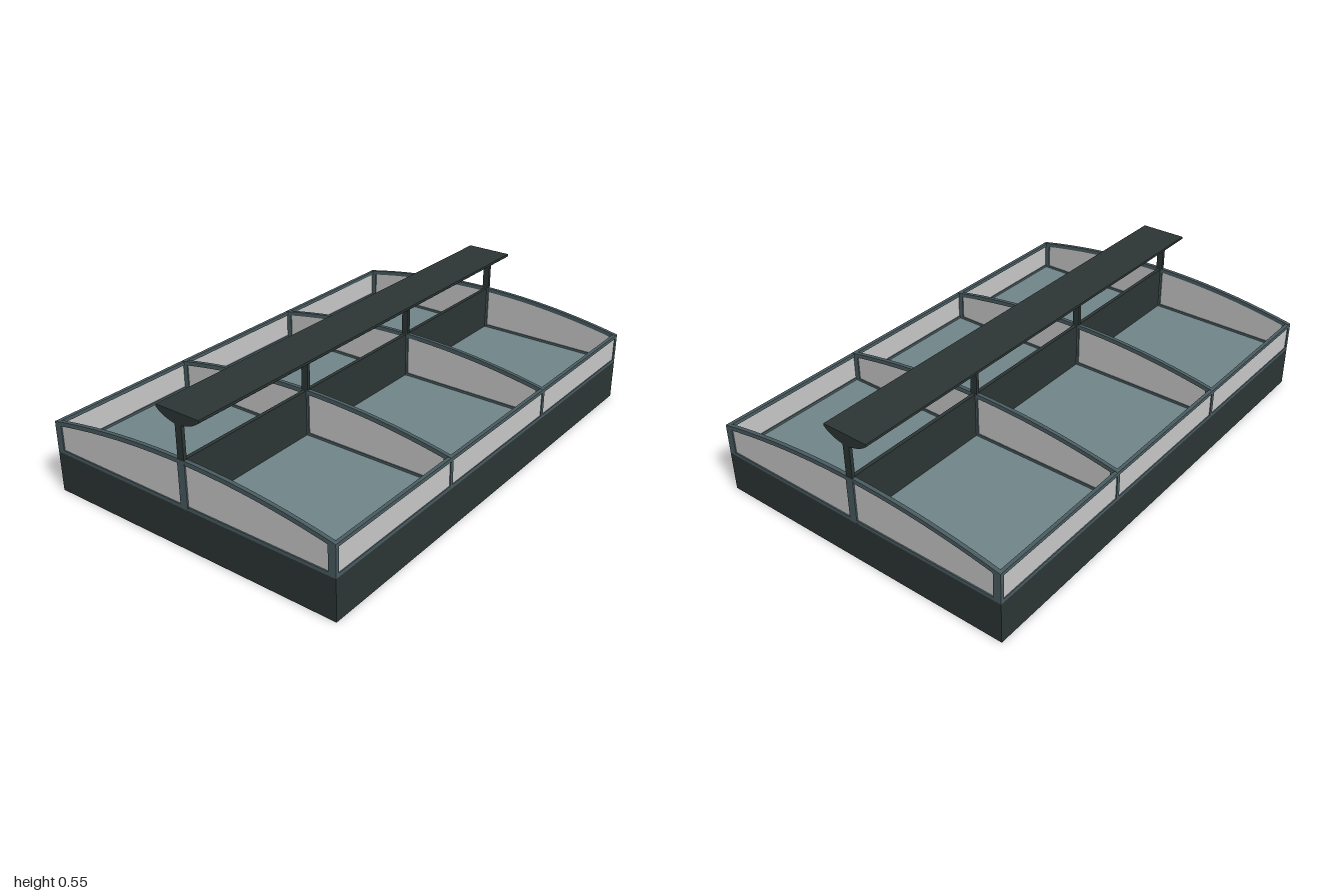
import * as THREE from 'three';

const W = 0.665, L = 1, BASE = 0.17, EAVE = 0.3, RIDGE = 0.368, T = 0.016;

// height of the arched top at x
const arch = (x) => RIDGE - (RIDGE - EAVE) * (x / W) ** 2;

// points along the arch, lowered by drop, from x = -w to w
function archPoints(w, drop, n = 20) {
  return Array.from({ length: n + 1 }, (_, i) => {
    const x = -w + (2 * w * i) / n;
    return new THREE.Vector2(x, arch(x) - drop);
  });
}

export function createModel() {
  const dark = new THREE.MeshStandardMaterial({ name: 'dark casing', color: 0x2c3535 });
  const frame = new THREE.MeshStandardMaterial({ name: 'slate frame', color: 0x4a5c61 });
  const glass = new THREE.MeshStandardMaterial({ name: 'pale glass', color: 0xc9c9c9 });
  const liner = new THREE.MeshStandardMaterial({ name: 'blue grey liner', color: 0x718589 });

  const model = new THREE.Group();
  model.name = 'displayCase';

  const add = (parent, name, geo, mat, x = 0, y = 0, z = 0) => {
    const mesh = new THREE.Mesh(geo, mat);
    mesh.name = name;
    mesh.position.set(x, y, z);
    parent.add(mesh);
    return mesh;
  };
  // box given by its centre in x and z, and by its bottom and top in y
  const box = (parent, name, mat, w, y0, y1, d, x = 0, z = 0) =>
    add(parent, name, new THREE.BoxGeometry(w, y1 - y0, d), mat, x, (y0 + y1) / 2, z);
  // shape extruded along z, centred on z
  const slab = (parent, name, points, depth, mat) => {
    const geo = new THREE.ExtrudeGeometry(new THREE.Shape(points), { depth, bevelEnabled: false });
    geo.translate(0, 0, -depth / 2);
    return add(parent, name, geo, mat);
  };

  // casing, floor and lengthwise partition
  box(model, 'base', dark, 2 * W, 0, BASE, 2 * L);
  box(model, 'floor', liner, 2 * W - 0.02, BASE - 0.003, BASE + 0.004, 2 * L - 0.02);
  box(model, 'centrePartition', dark, 0.016, BASE, RIDGE - 0.003, 2 * L - 0.02);

  // arched cross frames with glass and canopy posts
  const end = L - T / 2;
  for (const z of [-end, -1 / 3, 1 / 3, end]) {
    const bay = new THREE.Group();
    bay.name = 'crossFrame';
    bay.position.z = z;
    model.add(bay);

    slab(bay, 'archRail', [...archPoints(W, 0), ...archPoints(W, 0.018).reverse()], T, frame);
    const w = W - 0.02;
    slab(bay, 'crossGlass', [
      new THREE.Vector2(w, BASE), new THREE.Vector2(-w, BASE), ...archPoints(w, 0.01),
    ], 0.006, glass);
    box(bay, 'bottomRail', frame, 2 * W - 0.04, BASE, BASE + 0.014, T);
    for (const s of [-1, 1]) box(bay, 'cornerPost', frame, 0.032, BASE, EAVE - 0.006, T, s * (W - 0.016));
    box(bay, 'centrePost', frame, 0.034, BASE, RIDGE - 0.001, T + 0.002);
    box(bay, 'canopyPost', dark, 0.03, RIDGE - 0.004, 0.515, T - 0.002);
  }

  // long side glass and rails
  for (const s of [-1, 1]) {
    box(model, 'sideGlass', glass, 0.006, BASE, EAVE - 0.006, 2 * L - 0.02, s * (W - 0.007));
    box(model, 'sideTopRail', frame, 0.015, EAVE - 0.015, EAVE, 2 * L, s * (W - 0.0075));
    box(model, 'sideBottomRail', frame, 0.015, BASE, BASE + 0.014, 2 * L, s * (W - 0.0075));
  }

  // canopy with a rounded underside
  const half = [[0.1, 0.55], [0.1, 0.54], [0.085, 0.528], [0.065, 0.517], [0.042, 0.509], [0.015, 0.503]];
  slab(model, 'canopy', [
    ...half.map(([x, y]) => new THREE.Vector2(x, y)),
    ...half.map(([x, y]) => new THREE.Vector2(-x, y)).reverse(),
  ], 2 * L, dark);

  return model;
}
